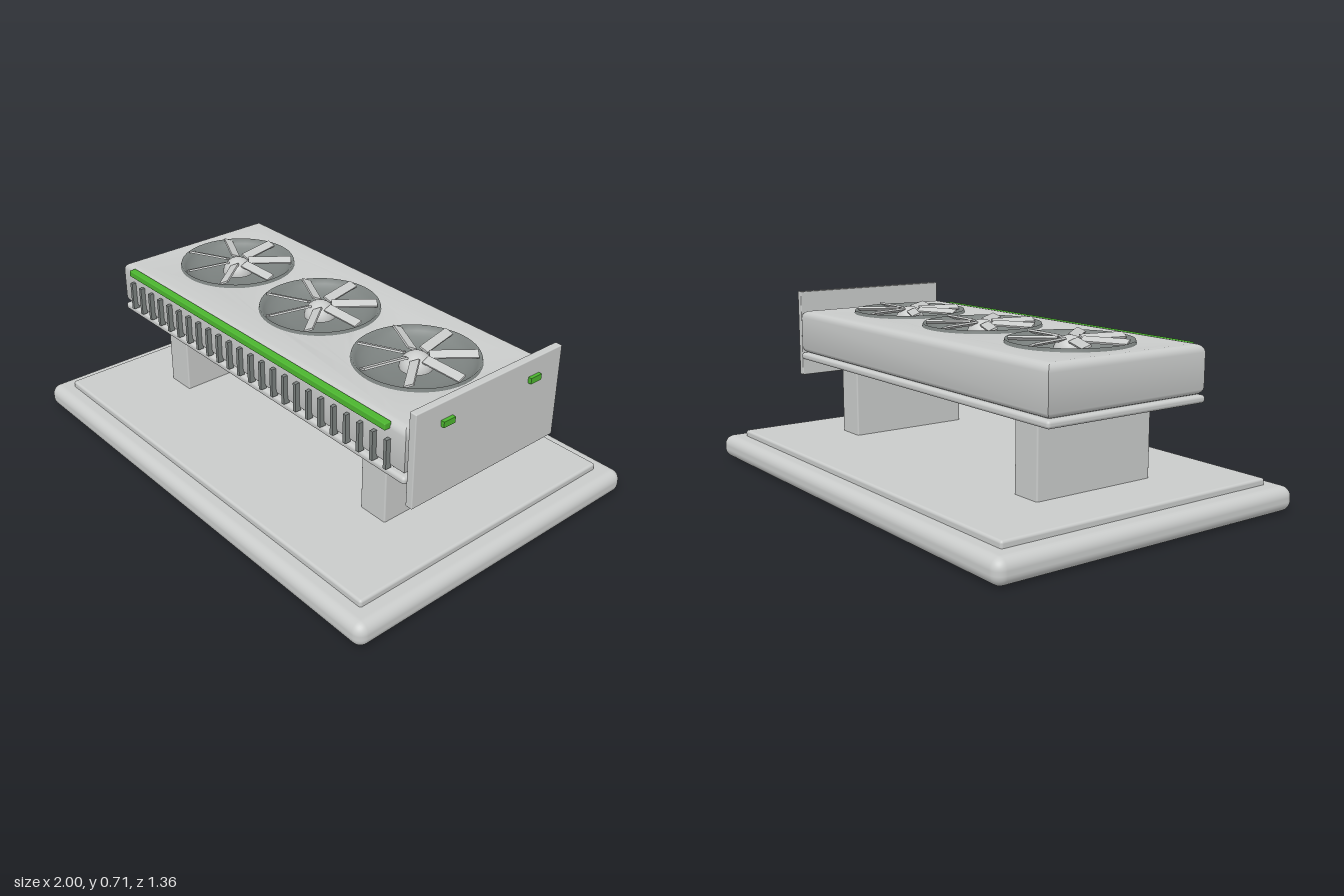
import * as THREE from 'three';
import { toCreasedNormals } from 'three/addons/utils/BufferGeometryUtils.js';
import { RoundedBoxGeometry } from 'three/addons/geometries/RoundedBoxGeometry.js';

export function createModel() {
  const model = new THREE.Group();
  model.name = 'graphicsCardOnStand';

  const material = (name, color) => new THREE.MeshStandardMaterial({ name, color });
  const silver = material('silver', 0xcacccb);
  const darkGrey = material('darkGrey', 0x7c8280);
  const green = material('green', 0x4cb52f);

  function add(name, geometry, mat, x = 0, y = 0, z = 0, parent = model) {
    const mesh = new THREE.Mesh(geometry, mat);
    mesh.name = name;
    mesh.position.set(x, y, z);
    parent.add(mesh);
    return mesh;
  }
  const box = (w, h, d) => new THREE.BoxGeometry(w, h, d);
  const rounded = (w, h, d, r) => new RoundedBoxGeometry(w, h, d, 4, r);

  // Display base with a raised inner plate
  add('base', rounded(2, 0.095, 1.36, 0.04), silver, 0, 0.0475, 0);
  add('basePlate', rounded(1.84, 0.04, 1.21, 0.01), silver, 0, 0.1, 0);

  // Two supports
  for (const side of [-1, 1]) {
    add(side > 0 ? 'leftSupport' : 'rightSupport', rounded(0.125, 0.32, 0.525, 0.006), silver, side * 0.605, 0.27, 0);
  }

  // Circuit board under the shroud
  add('circuitBoard', rounded(1.69, 0.029, 0.72, 0.012), silver, 0, 0.433, -0.004);

  // Shroud with rounded edges and three fan openings
  const fanX = [-0.526, 0, 0.526];
  const bevel = 0.03;
  const hx = 0.84 - bevel, hz = 0.355 - bevel;
  const outline = new THREE.Shape([
    new THREE.Vector2(-hx, -hz), new THREE.Vector2(hx, -hz),
    new THREE.Vector2(hx, hz), new THREE.Vector2(-hx, hz),
  ]);
  for (const x of fanX) {
    outline.holes.push(new THREE.Path().absarc(x, 0, 0.234, 0, Math.PI * 2, true));
  }
  const shroud = new THREE.ExtrudeGeometry(outline, {
    depth: 0.183 - 2 * bevel, bevelSize: bevel, bevelThickness: bevel, bevelSegments: 5, curveSegments: 32,
  });
  shroud.rotateX(-Math.PI / 2);
  add('shroud', toCreasedNormals(shroud, 0.6), silver, 0, 0.447 + bevel, -0.005);

  // Fans: shallow dish, domed hub and seven pitched blades
  const dishProfile = [[0, 0.575], [0.12, 0.585], [0.17, 0.597], [0.2, 0.61], [0.216, 0.626], [0.232, 0.643], [0.236, 0.629]]
    .map(([r, y]) => new THREE.Vector2(r, y));
  const dishGeometry = new THREE.LatheGeometry(dishProfile, 48);
  const hubGeometry = new THREE.SphereGeometry(0.062, 24, 8, 0, Math.PI * 2, 0, Math.PI / 2);
  const bladeGeometry = box(0.175, 0.008, 0.036);
  bladeGeometry.rotateX(0.4);
  bladeGeometry.translate(0.1325, 0.643, 0);
  const dishMaterial = darkGrey;
  dishMaterial.side = THREE.DoubleSide;
  fanX.forEach((x, i) => {
    const fan = new THREE.Group();
    fan.name = 'fan' + (i + 1);
    fan.position.set(x, 0, -0.005);
    model.add(fan);
    add('fanDish', dishGeometry, dishMaterial, 0, 0, 0, fan);
    add('fanHub', hubGeometry, silver, 0, 0.594, 0, fan);
    for (let k = 0; k < 7; k++) {
      add('fanBlade', bladeGeometry, silver, 0, 0, 0, fan).rotation.y = (k * Math.PI * 2) / 7;
    }
  });

  // Row of cooling fins on the front
  const finGeometry = box(0.014, 0.115, 0.025);
  for (let i = 0; i < 24; i++) {
    add('coolingFin', finGeometry, darkGrey, -0.765 + (i * 1.53) / 23, 0.508, 0.356);
  }

  // Light strip along the upper front edge
  add('lightStrip', rounded(1.53, 0.026, 0.03, 0.004), green, 0, 0.613, 0.357);

  // Mounting bracket with two small lights
  add('bracket', rounded(0.03, 0.365, 0.707, 0.004), silver, 0.87, 0.5275, 0.001);
  for (const z of [-0.21, 0.213]) {
    add('bracketLight', box(0.02, 0.023, 0.053), green, 0.889, 0.633, z);
  }

  return model;
}
